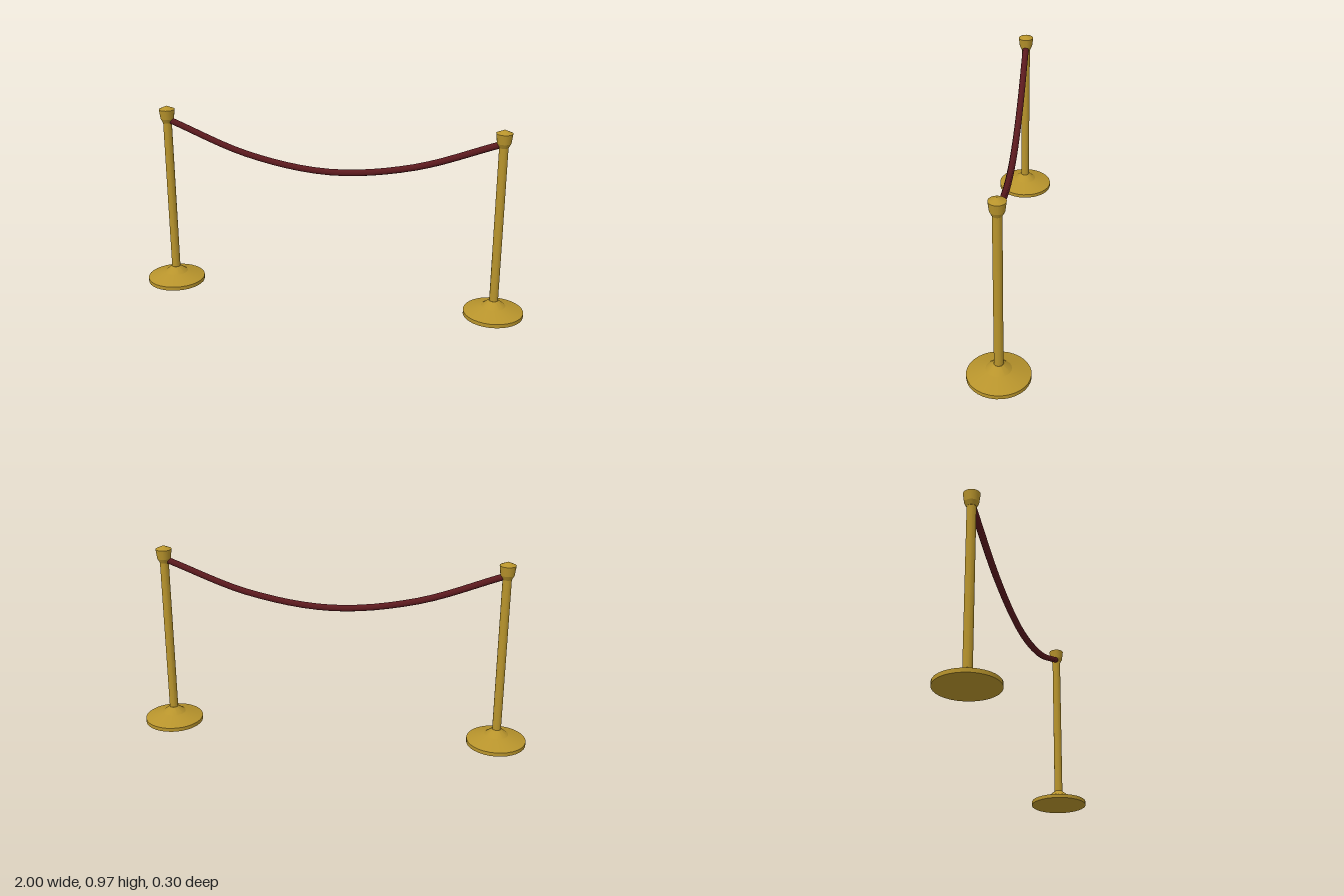
import * as THREE from 'three';
import { toCreasedNormals } from 'three/addons/utils/BufferGeometryUtils.js';

const gold = new THREE.MeshStandardMaterial({ color: 0xb8942c });
const red = new THREE.MeshStandardMaterial({ color: 0x5c1a1e });

// Turned part from [radius, height] pairs, with crisp rims
function turned(name, profile) {
  const points = profile.map(([r, y]) => new THREE.Vector2(r, y));
  const geometry = toCreasedNormals(new THREE.LatheGeometry(points, 32), 0.3);
  const mesh = new THREE.Mesh(geometry, gold);
  mesh.name = name;
  return mesh;
}

function createStanchion(name, x) {
  const stanchion = new THREE.Group();
  stanchion.name = name;
  stanchion.position.x = x;
  stanchion.add(
    turned('base', [[0, 0], [0.15, 0], [0.15, 0.02], [0.06, 0.05], [0.023, 0.08], [0, 0.08]]),
    turned('post', [[0.022, 0.07], [0.022, 0.89]]),
    turned('cap', [[0, 0.88], [0.023, 0.88], [0.034, 0.902], [0.04, 0.95], [0, 0.968]]),
  );
  return stanchion;
}

export function createModel() {
  const model = new THREE.Group();
  model.name = 'ropeBarrier';
  model.add(createStanchion('leftStanchion', 0.85), createStanchion('rightStanchion', -0.85));

  // Sagging rope, its ends buried in the caps
  const path = new THREE.CatmullRomCurve3(
    [[-0.84, 0.895], [-0.42, 0.743], [0, 0.685], [0.42, 0.743], [0.84, 0.895]]
      .map(([x, y]) => new THREE.Vector3(x, y, 0)),
  );
  const rope = new THREE.Mesh(new THREE.TubeGeometry(path, 24, 0.017, 8), red);
  rope.name = 'rope';
  model.add(rope);
  return model;
}
